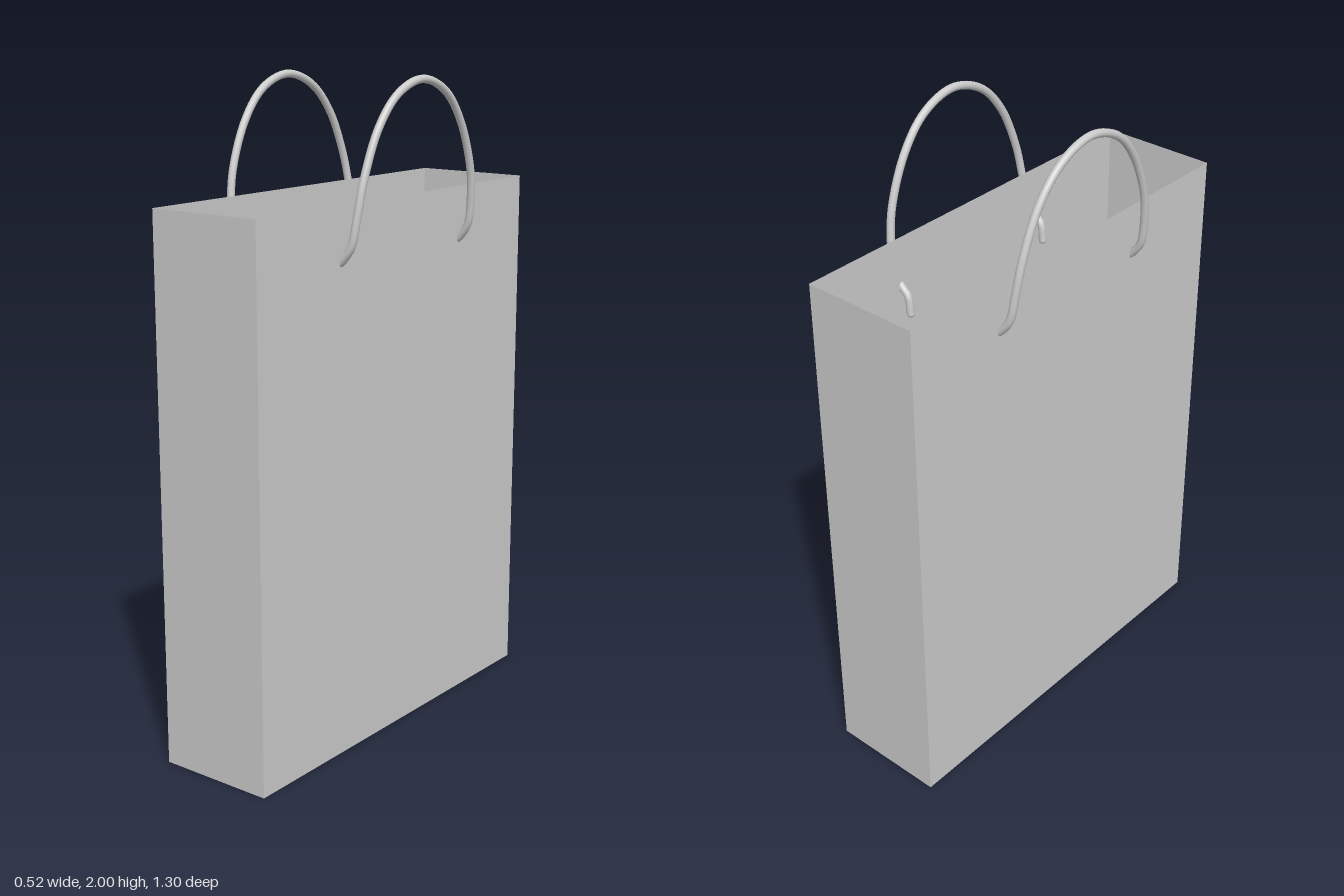
import * as THREE from 'three';

const WIDTH = 0.372, HEIGHT = 1.655, DEPTH = 1.296;
const CORD = 0.012;

// Thin-walled box with its top face left out
function openBox(w, h, d) {
  const box = new THREE.BoxGeometry(w, h, d);
  const index = Array.from(box.index.array);
  index.splice(12, 6); // the +y face
  box.setIndex(index);
  box.clearGroups();
  box.translate(0, h / 2, 0);
  return box;
}

// One cord handle: its tips pass through the wall and hang inside the bag
function makeHandle(side, material) {
  // x outward, y up, z half-span, from the hidden tip to the crown
  const half = [
    [0.156, 1.42, 0.293],
    [0.164, 1.475, 0.293],
    [0.19, 1.5, 0.293],
    [0.218, 1.54, 0.291],
    [0.232, 1.62, 0.284],
    [0.24, 1.72, 0.265],
    [0.244, 1.86, 0.203],
    [0.247, 1.95, 0.118],
  ];
  const place = ([x, y, z], s) => new THREE.Vector3(side * x, y, s * z - 0.01);
  const points = [
    ...half.map((p) => place(p, 1)),
    place([0.248, 1.988, 0], 1),
    ...half.map((p) => place(p, -1)).reverse(),
  ];
  const curve = new THREE.CatmullRomCurve3(points);

  const handle = new THREE.Group();
  const cord = new THREE.Mesh(new THREE.TubeGeometry(curve, 96, CORD, 12), material);
  cord.name = 'handleCord';
  handle.add(cord);

  // Rounded cord ends
  for (const end of [points[0], points[points.length - 1]]) {
    const tip = new THREE.Mesh(new THREE.SphereGeometry(CORD, 12, 8), material);
    tip.name = 'handleTip';
    tip.position.copy(end);
    handle.add(tip);
  }
  return handle;
}

export function createModel() {
  const model = new THREE.Group();
  model.name = 'shoppingBag';

  const paper = new THREE.MeshStandardMaterial({ color: 0xcccccc, side: THREE.DoubleSide });
  const cordMaterial = new THREE.MeshStandardMaterial({ color: 0xcccccc });

  // Bag walls and floor
  const bag = new THREE.Mesh(openBox(WIDTH, HEIGHT, DEPTH), paper);
  bag.name = 'bagBody';
  model.add(bag);

  // A handle on each broad wall
  for (const side of [1, -1]) {
    const handle = makeHandle(side, cordMaterial);
    handle.name = side > 0 ? 'leftHandle' : 'rightHandle';
    model.add(handle);
  }
  return model;
}
